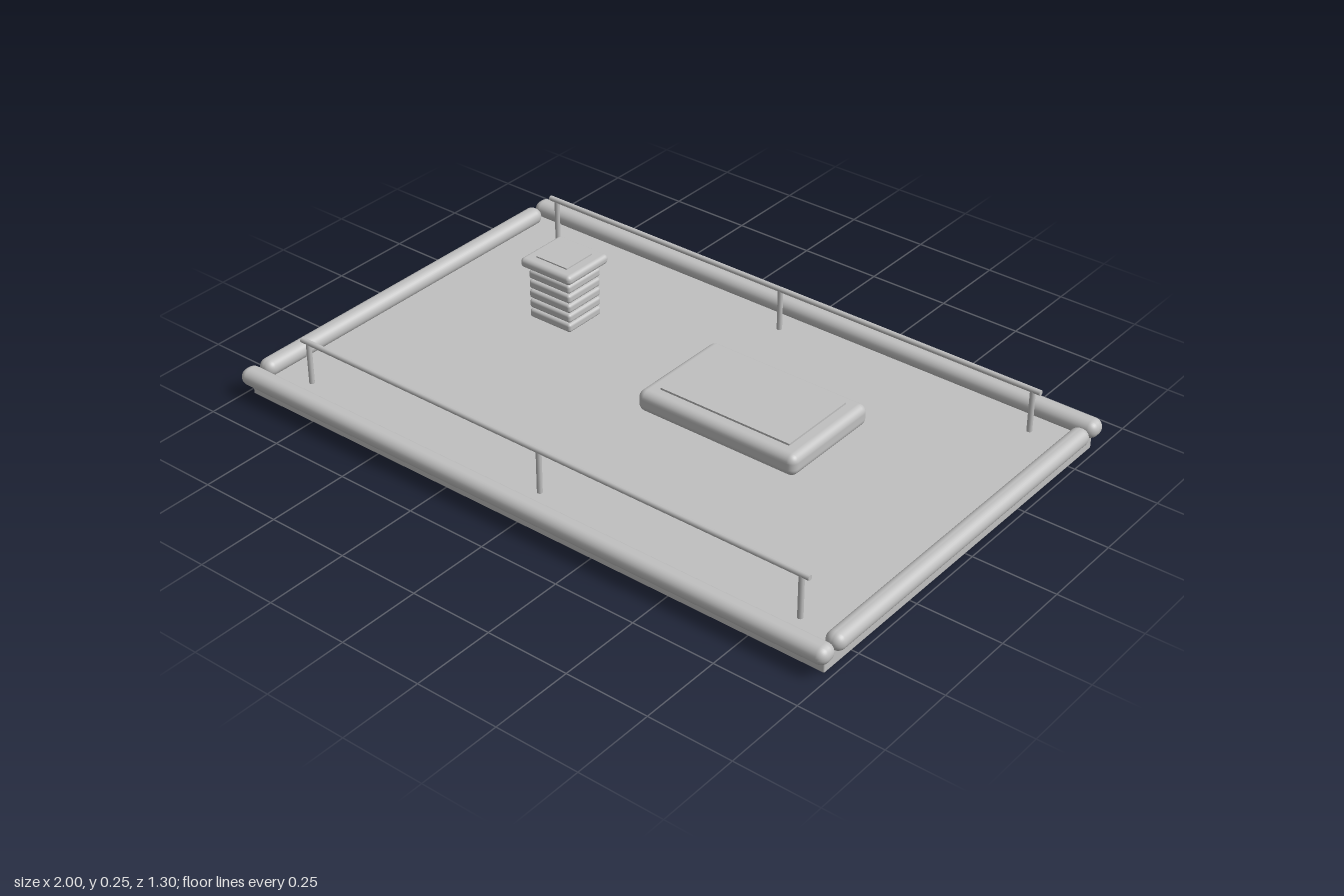
import * as THREE from 'three';
import { RoundedBoxGeometry } from 'three/addons/geometries/RoundedBoxGeometry.js';

export function createModel() {
  const model = new THREE.Group();
  const grey = new THREE.MeshStandardMaterial({ color: 0xc0c0c0 });
  grey.name = 'grey';

  const add = (name, geometry, x, y, z) => {
    const mesh = new THREE.Mesh(geometry, grey);
    mesh.name = name;
    mesh.position.set(x, y, z);
    model.add(mesh);
    return mesh;
  };

  // Block given by its extents on each axis, with optional rounded edges
  const block = (name, [x0, x1], [y0, y1], [z0, z1], r = 0) => {
    const size = [x1 - x0, y1 - y0, z1 - z0];
    const geometry = r ? new RoundedBoxGeometry(...size, 4, r) : new THREE.BoxGeometry(...size);
    return add(name, geometry, (x0 + x1) / 2, (y0 + y1) / 2, (z0 + z1) / 2);
  };

  // Roof slab
  block('roofSlab', [-0.98, 0.98], [0, 0.045], [-0.615, 0.615], 0.004);

  // Rounded border along the four edges
  for (const s of [-1, 1]) {
    block('longBorder', [-1, 1], [0.036, 0.088], [s * 0.618 - 0.031, s * 0.618 + 0.031], 0.0255);
    block('shortBorder', [s * 0.972 - 0.028, s * 0.972 + 0.028], [0.036, 0.088], [-0.58, 0.58], 0.0255);
  }

  // Handrails on three posts each
  for (const z of [-0.522, 0.522]) {
    add('handrail', new THREE.CylinderGeometry(0.008, 0.008, 1.73, 12), 0, 0.176, z).rotation.z = Math.PI / 2;
    for (const x of [-0.84, 0, 0.84]) {
      add('railPost', new THREE.CylinderGeometry(0.008, 0.008, 0.131, 12), x, 0.1105, z);
    }
  }

  // Roof hatch with a raised lid panel
  block('hatch', [-0.05, 0.483], [0.045, 0.111], [-0.277, 0.067], 0.024);
  block('hatchPanel', [0, 0.435], [0.109, 0.117], [-0.235, 0.022]);

  // Chimney of stacked slabs on a slim core, with a wider cap
  for (let i = 0; i < 5; i++) {
    const y = 0.048 + i * 0.032;
    block('chimneySlab', [-0.6, -0.447], [y, y + 0.028], [-0.26, -0.119], 0.009);
  }
  block('chimneyCore', [-0.56, -0.487], [0.045, 0.22], [-0.225, -0.154]);
  block('chimneyCap', [-0.616, -0.43], [0.216, 0.246], [-0.278, -0.101], 0.013);
  block('chimneyCapPanel', [-0.58, -0.466], [0.244, 0.25], [-0.245, -0.134]);

  return model;
}
